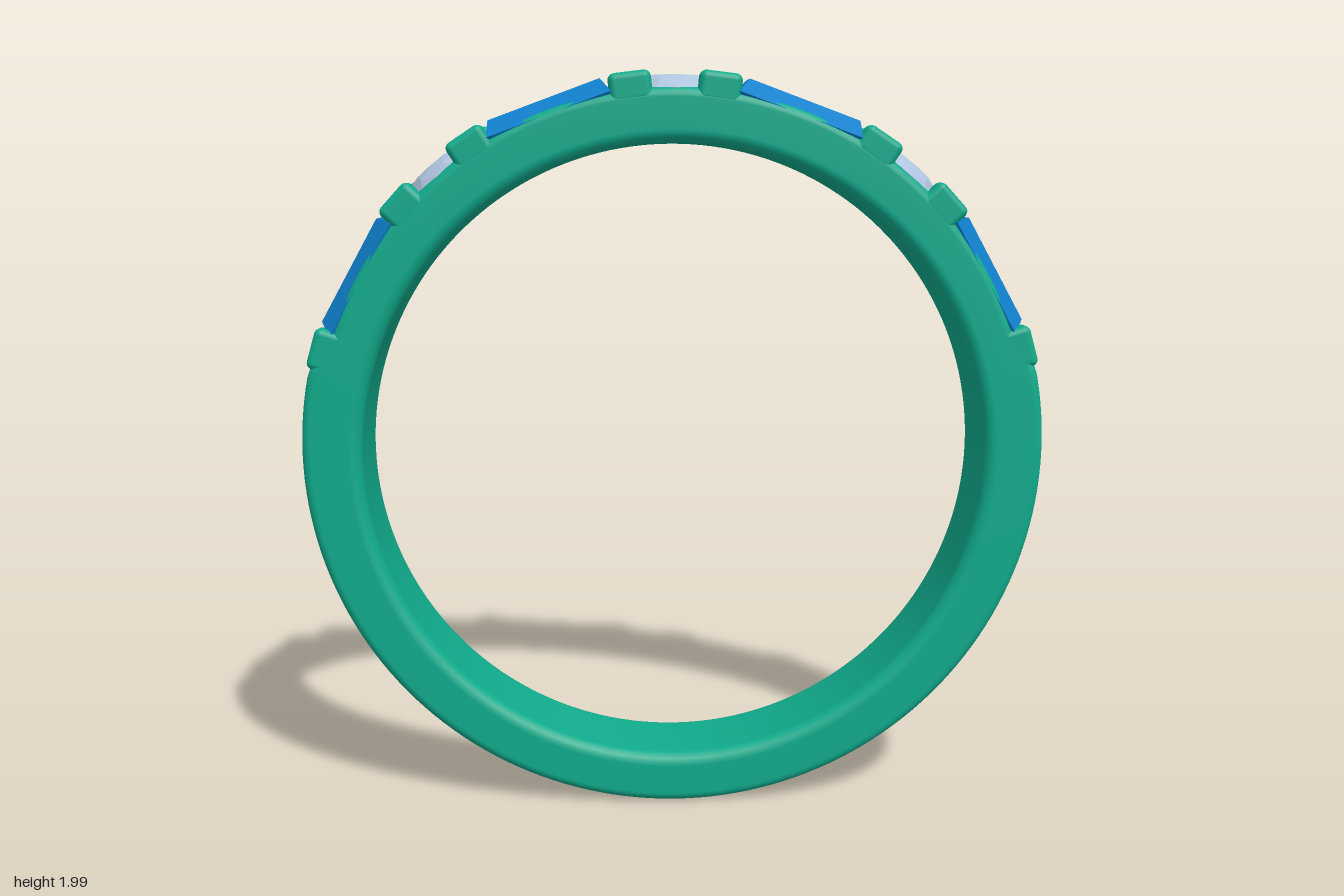
import * as THREE from 'three';
import { RoundedBoxGeometry } from 'three/addons/geometries/RoundedBoxGeometry.js';
import { ConvexGeometry } from 'three/addons/geometries/ConvexGeometry.js';

const rad = THREE.MathUtils.degToRad;
const metal = new THREE.MeshStandardMaterial({ color: 0x10ab8c });
const blue = new THREE.MeshStandardMaterial({ color: 0x1080cc, flatShading: true });
const clear = new THREE.MeshStandardMaterial({ color: 0xb0c4de, flatShading: true });
const HALF = 0.135; // half the band width

// Rounded section swept round the finger; the setting arc is cut lower
function bandGeometry() {
  const N = 180, C = 5, pos = [], idx = [];
  const M = 4 * (C + 1);
  for (let i = 0; i < N; i++) {
    const a = (i / N) * Math.PI * 2 - Math.PI;
    const outer = 0.957 + 0.037 * THREE.MathUtils.smoothstep(Math.abs(a), rad(72), rad(77));
    const inner = 0.835 - 0.02 * Math.cos(a);
    // corners: outer front, outer back, inner back, inner front
    [[1, 1], [1, -1], [-1, -1], [-1, 1]].forEach(([sr, sz], k) => {
      const f = sr > 0 ? 0.026 : 0.034;
      const cr = sr > 0 ? outer - f : inner + f;
      for (let c = 0; c <= C; c++) {
        const t = Math.PI / 2 * (1 - k - c / C);
        const r = cr + f * Math.cos(t), z = sz * (HALF - f) + f * Math.sin(t);
        pos.push(r * Math.sin(a), r * Math.cos(a), z);
      }
    });
  }
  // each corner starts on the side the loop arrives from
  for (let i = 0; i < N; i++) for (let j = 0; j < M; j++) {
    const i2 = (i + 1) % N, j2 = (j + 1) % M;
    const p = i * M + j, q = i2 * M + j, r = i * M + j2, s = i2 * M + j2;
    idx.push(p, q, r, q, s, r);
  }
  const g = new THREE.BufferGeometry();
  g.setAttribute('position', new THREE.Float32BufferAttribute(pos, 3));
  g.setIndex(idx);
  g.computeVertexNormals();
  return g;
}

// Long step-cut stone: [half length, height, half width]
function baguetteGeometry() {
  const pts = [];
  for (const [x, y, z] of [[0.155, 0.986, 0.075], [0.172, 0.944, 0.131], [0.15, 0.89, 0.09]])
    for (const sx of [-1, 1]) for (const sz of [-1, 1]) pts.push(new THREE.Vector3(sx * x, y, sz * z));
  return new ConvexGeometry(pts);
}

// Round brilliant: [radius, height, sides, turn]
function brilliantGeometry() {
  const pts = [new THREE.Vector3(0, 0.86, 0)];
  for (const [r, y, n, turn] of [[0.066, 0.99, 8, 0], [0.1, 0.976, 8, 0.5], [0.123, 0.955, 16, 0], [0.119, 0.94, 16, 0]])
    for (let i = 0; i < n; i++) {
      const a = ((i + turn) / n) * Math.PI * 2;
      pts.push(new THREE.Vector3(r * Math.cos(a), y, r * Math.sin(a)));
    }
  return new ConvexGeometry(pts);
}

export function createModel() {
  const ring = new THREE.Group();
  ring.name = 'ring';
  ring.position.y = 1;

  // Adds a part modelled at the top of the ring, turned to its angle
  const add = (name, geometry, material, degrees = 0) => {
    const pivot = new THREE.Group();
    pivot.name = name;
    pivot.rotation.z = -rad(degrees);
    const mesh = new THREE.Mesh(geometry, material);
    mesh.name = name;
    pivot.add(mesh);
    ring.add(pivot);
  };

  add('band', bandGeometry(), metal);

  // Alternating stones
  const baguette = baguetteGeometry(), brilliant = brilliantGeometry();
  for (const d of [-60.5, -20.2, 20.2, 60.5]) add('longStone', baguette, blue, d);
  for (const d of [-40.3, 0, 40.3]) add('roundStone', brilliant, clear, d);

  // Pairs of prongs between the stones
  for (const z of [-1, 1]) {
    const prong = new RoundedBoxGeometry(0.112, 0.08, 0.066, 3, 0.018);
    prong.translate(0, 0.961, z * (HALF - 0.033));
    for (const d of [6.9, 33.4, 47.3, 73.3]) for (const s of [-1, 1]) add('prong', prong, metal, s * d);
  }

  const model = new THREE.Group();
  model.name = 'gemRing';
  model.add(ring);
  return model;
}
